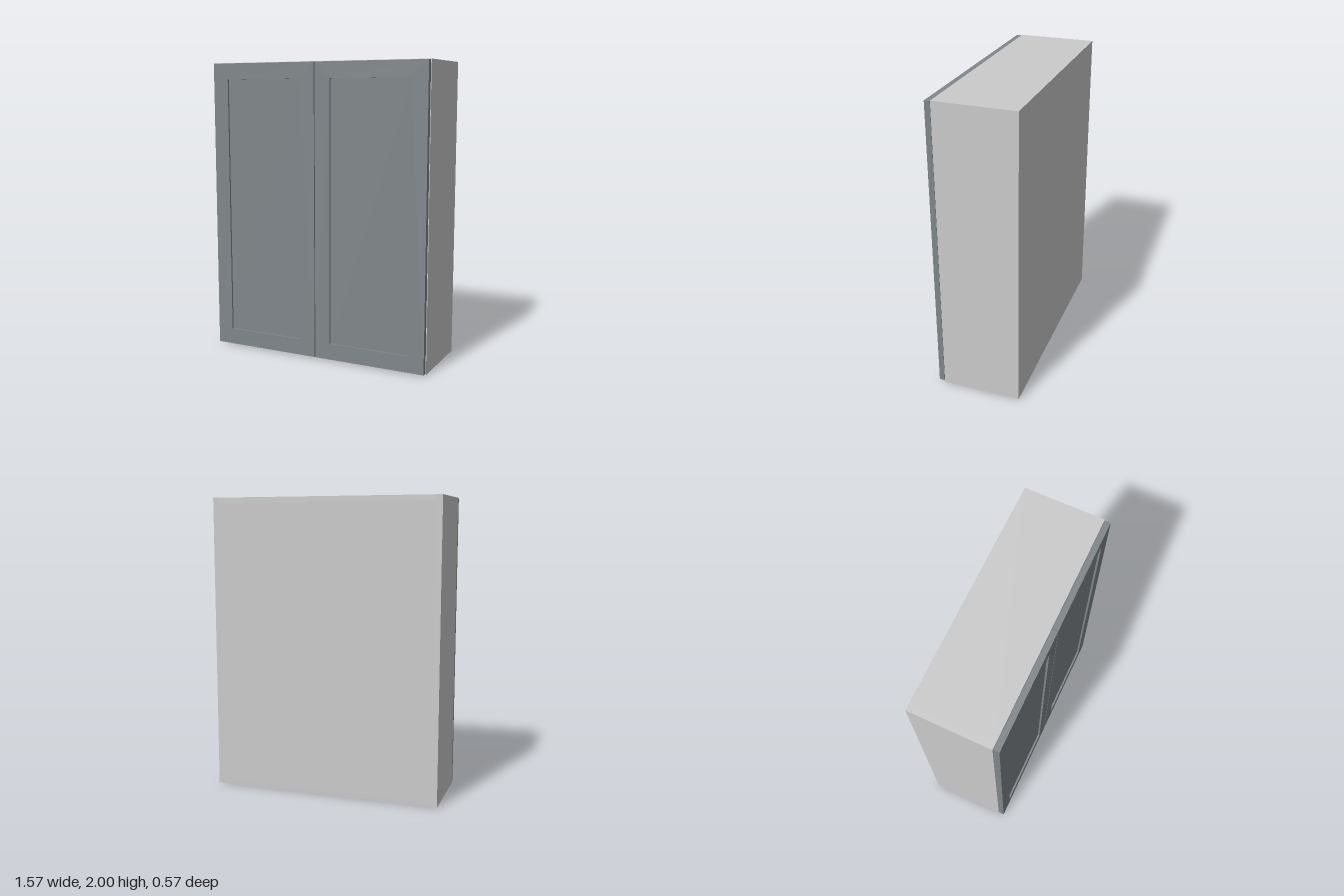
import * as THREE from 'three';

const W = 0.785, H = 2, BACK = -0.285, FRONT = 0.245, T = 0.035;

export function createModel() {
  const model = new THREE.Group();
  model.name = 'wallCabinet';
  const bodyMat = new THREE.MeshStandardMaterial({ color: 0xcccccc });
  const doorMat = new THREE.MeshStandardMaterial({ color: 0x80878a });

  // Box given by its lower and upper corners
  const addBox = (parent, name, mat, [x0, y0, z0], [x1, y1, z1]) => {
    const mesh = new THREE.Mesh(new THREE.BoxGeometry(x1 - x0, y1 - y0, z1 - z0), mat);
    mesh.position.set((x0 + x1) / 2, (y0 + y1) / 2, (z0 + z1) / 2);
    mesh.name = name;
    parent.add(mesh);
  };

  // Carcass: two sides, top, bottom and back
  const carcass = new THREE.Group();
  carcass.name = 'carcass';
  model.add(carcass);
  addBox(carcass, 'leftSide', bodyMat, [W - T, 0, BACK], [W, H, FRONT]);
  addBox(carcass, 'rightSide', bodyMat, [-W, 0, BACK], [-W + T, H, FRONT]);
  addBox(carcass, 'topPanel', bodyMat, [-W + T, H - T, BACK], [W - T, H, FRONT]);
  addBox(carcass, 'bottomPanel', bodyMat, [-W + T, 0, BACK], [W - T, T, FRONT]);
  addBox(carcass, 'backPanel', bodyMat, [-W + T, T, BACK], [W - T, H - T, BACK + 0.02]);

  // Doors: a flat frame around a slightly recessed panel
  const rect = (P, x0, y0, x1, y1) => new P([
    new THREE.Vector2(x0, y0), new THREE.Vector2(x1, y0),
    new THREE.Vector2(x1, y1), new THREE.Vector2(x0, y1),
  ]);
  const doorBack = 0.248, doorFront = 0.285;
  const inner = [0.112, 0.12, 0.67, 1.888];
  for (const side of [1, -1]) {
    const door = new THREE.Group();
    door.name = side > 0 ? 'leftDoor' : 'rightDoor';
    model.add(door);

    const span = (a, b) => (side > 0 ? [a, b] : [-b, -a]);
    const [ox0, ox1] = span(0.003, 0.782);
    const [ix0, ix1] = span(inner[0], inner[2]);
    const outline = rect(THREE.Shape, ox0, 0.01, ox1, 1.996);
    outline.holes.push(rect(THREE.Path, ix0, inner[1], ix1, inner[3]));
    const frame = new THREE.Mesh(
      new THREE.ExtrudeGeometry(outline, { depth: doorFront - doorBack, bevelEnabled: false }), doorMat);
    frame.position.z = doorBack;
    frame.name = 'doorFrame';
    door.add(frame);
    addBox(door, 'doorPanel', doorMat,
      [ix0, inner[1], doorBack + 0.005], [ix1, inner[3], doorFront - 0.013]);
  }
  return model;
}
